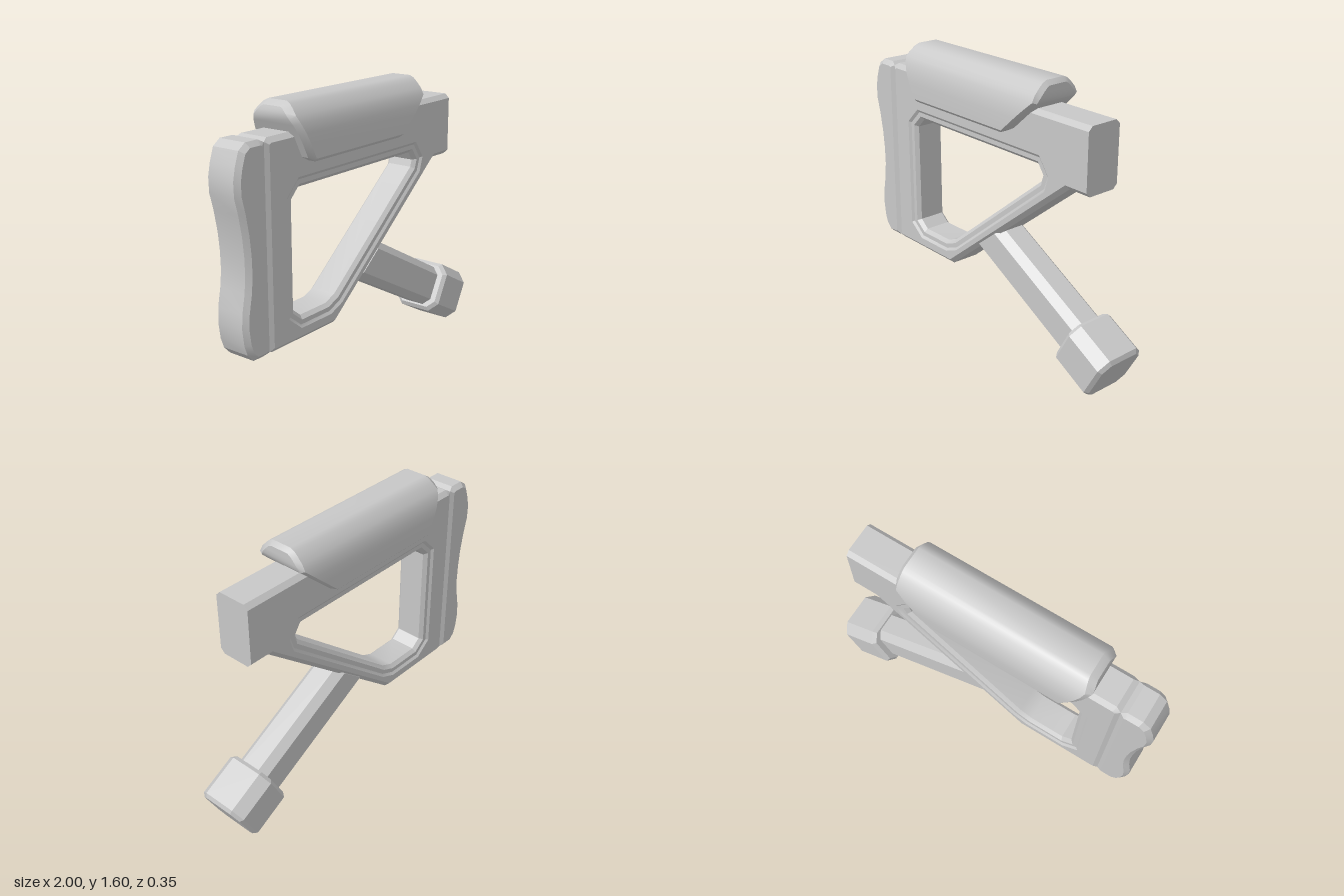
import * as THREE from 'three';
import { toCreasedNormals } from 'three/addons/utils/BufferGeometryUtils.js';

const grey = new THREE.MeshStandardMaterial({ color: 0xc8c8c8 });
grey.name = 'light grey polymer';

// Moves each edge of a counter-clockwise outline inward by d (number, or function of edge index)
function inset(pts, d) {
  const n = pts.length;
  const dist = typeof d === 'function' ? d : () => d;
  const line = (i) => {
    const [ax, ay] = pts[i], [bx, by] = pts[(i + 1) % n];
    const l = Math.hypot(bx - ax, by - ay);
    const nx = -(by - ay) / l, ny = (bx - ax) / l;
    return [nx, ny, nx * ax + ny * ay + dist(i)];
  };
  return pts.map((_, i) => {
    const [a, b, c] = line((i + n - 1) % n), [p, q, r] = line(i);
    const det = a * q - b * p;
    return [(c * q - b * r) / det, (a * r - c * p) / det];
  });
}

// Places an outline at depth z (number, or function of x and y)
const ring = (pts, z) => pts.map(([x, y]) =>
  new THREE.Vector3(x, y, typeof z === 'function' ? z(x, y) : z));

// Joins rings from back to front and closes both ends; holeRings cut a passage through
function loft(name, rings, { holeRings = [], strips = false, crease = 0.4 } = {}) {
  const pos = [];
  const tri = (...v) => v.forEach((p) => pos.push(p.x, p.y, p.z));
  const band = (a, b, flip) => a.forEach((p, i) => {
    const j = (i + 1) % a.length;
    const q = flip ? [a[j], p, b[i], b[j]] : [p, a[j], b[j], b[i]];
    tri(q[0], q[1], q[2]);
    tri(q[0], q[2], q[3]);
  });
  const cap = (outer, hole, back) => {
    const all = hole ? [...outer, ...hole] : outer;
    let faces = [];
    if (strips) {
      // mirrored outlines are closed with level strips so the end may bend
      const n = outer.length;
      for (let i = 0; i < n / 2 - 1; i++)
        faces.push([i, i + 1, n - 2 - i], [i, n - 2 - i, n - 1 - i]);
    } else {
      const flat = (r) => r.map((p) => new THREE.Vector2(p.x, p.y));
      faces = THREE.ShapeUtils.triangulateShape(flat(outer), hole ? [flat(hole)] : []);
    }
    faces.forEach(([a, b, c]) => (back ? tri(all[a], all[c], all[b]) : tri(all[a], all[b], all[c])));
  };
  for (let i = 1; i < rings.length; i++) band(rings[i - 1], rings[i], false);
  for (let i = 1; i < holeRings.length; i++) band(holeRings[i - 1], holeRings[i], true);
  cap(rings[0], holeRings[0], true);
  cap(rings.at(-1), holeRings.at(-1), false);
  const geo = new THREE.BufferGeometry();
  geo.setAttribute('position', new THREE.Float32BufferAttribute(pos, 3));
  const mesh = new THREE.Mesh(toCreasedNormals(geo, crease), grey);
  mesh.name = name;
  return mesh;
}

const mirrored = (half) => [...half, ...half.map(([x, y]) => [-x, y]).reverse()];
const octagon = (w, h, c) => mirrored([[w - c, -h], [w, -h + c], [w, h - c], [w - c, h]]);

const W = 0.107; // half thickness of the frame
const C = 0.025; // edge chamfer
const SEAM = -0.8; // shallow groove between frame and butt pad
const edgeDepth = (x) => W - (x === SEAM ? 0.013 : C);
const chamfered = (pts, d) => [
  ring(inset(pts, d), -W), ring(pts, (x) => -edgeDepth(x)),
  ring(pts, edgeDepth), ring(inset(pts, d), W),
];

function makeFrame() {
  const outline = [[SEAM, 0.355], [-0.77, 0.342], [-0.28, 0.342], [0.655, 1.09],
    [0.793, 1.09], [0.793, 1.452], [-0.77, 1.452], [SEAM, 1.435]];
  const opening = [[-0.6, 0.516], [-0.543, 0.47], [-0.335, 0.47], [-0.26, 0.5], [0.447, 1.07],
    [0.46, 1.11], [0.425, 1.16], [-0.545, 1.16], [-0.6, 1.105]];
  // stepped rim around the opening: [outward offset, depth]
  const steps = [[0.06, W], [0.045, 0.096], [0.02, 0.096], [0, 0.076]];
  const at = ([o, z], s) => ring(inset(opening, -o), s * z);
  const holeRings = [...steps.map((s) => at(s, -1)), ...[...steps].reverse().map((s) => at(s, 1))];
  // the front end (edge 4) stays square
  return loft('frame', chamfered(outline, (i) => (i === 4 ? 0 : C)), { holeRings });
}

function makeButtPad() {
  const outline = [[SEAM, 0.355], [SEAM, 1.435], [-0.83, 1.452], [-0.915, 1.452], [-0.96, 1.42],
    [-0.985, 1.35], [-1, 1.28], [-0.998, 1.2], [-0.975, 1.11], [-0.955, 1], [-0.945, 0.9],
    [-0.943, 0.8], [-0.952, 0.71], [-0.972, 0.61], [-0.977, 0.53], [-0.965, 0.44],
    [-0.945, 0.385], [-0.905, 0.342], [-0.83, 0.342]];
  return loft('buttPad', chamfered(outline, C));
}

function makeCheekRest() {
  const profile = mirrored([[0.155, 1.293], [0.173, 1.311], [0.173, 1.4], [0.168, 1.45],
    [0.155, 1.5], [0.137, 1.535], [0.108, 1.567], [0.085, 1.588], [0.06, 1.6]]);
  const inner = inset(profile, 0.025);
  // undercut ends; the rear also leans forward at the top
  const rear = (x, y) => -0.65 + Math.max((1.53 - y) * 0.5, (y - 1.53) * 0.3);
  const front = (x, y) => 0.47 - Math.max(0, 1.5 - y) * 1.12;
  const rest = loft('cheekRest', [
    ring(inner, rear),
    ring(profile, (x, y) => rear(x, y) + 0.033),
    ring(profile, (x, y) => front(x, y) - 0.02),
    ring(inner, front),
  ], { strips: true, crease: 0.55 });
  rest.rotation.y = Math.PI / 2;
  return rest;
}

function makeStrut() {
  const strut = new THREE.Group();
  strut.name = 'strut';
  // rod cut to lie along the sloping lower edge of the frame
  const rod = octagon(0.102, 0.121, 0.043);
  strut.add(loft('strutRod', [ring(rod, (x, y) => y * 0.424 - 0.03), ring(rod, 0.8)]));
  // wider foot with bevelled ends
  const foot = octagon(0.156, 0.152, 0.057);
  const small = inset(foot, 0.02);
  strut.add(loft('strutFoot', [
    ring(small, 0.715), ring(foot, 0.735), ring(foot, 0.97), ring(small, 0.99),
  ]));
  const a = THREE.MathUtils.degToRad(28.7);
  strut.matrix.makeBasis(
    new THREE.Vector3(0, 0, -1),
    new THREE.Vector3(Math.sin(a), Math.cos(a), 0),
    new THREE.Vector3(Math.cos(a), -Math.sin(a), 0),
  ).setPosition(0.066, 0.599, 0);
  strut.matrix.decompose(strut.position, strut.quaternion, strut.scale);
  return strut;
}

export function createModel() {
  const model = new THREE.Group();
  model.name = 'shoulderStock';
  model.add(makeFrame(), makeButtPad(), makeCheekRest(), makeStrut());
  return model;
}
